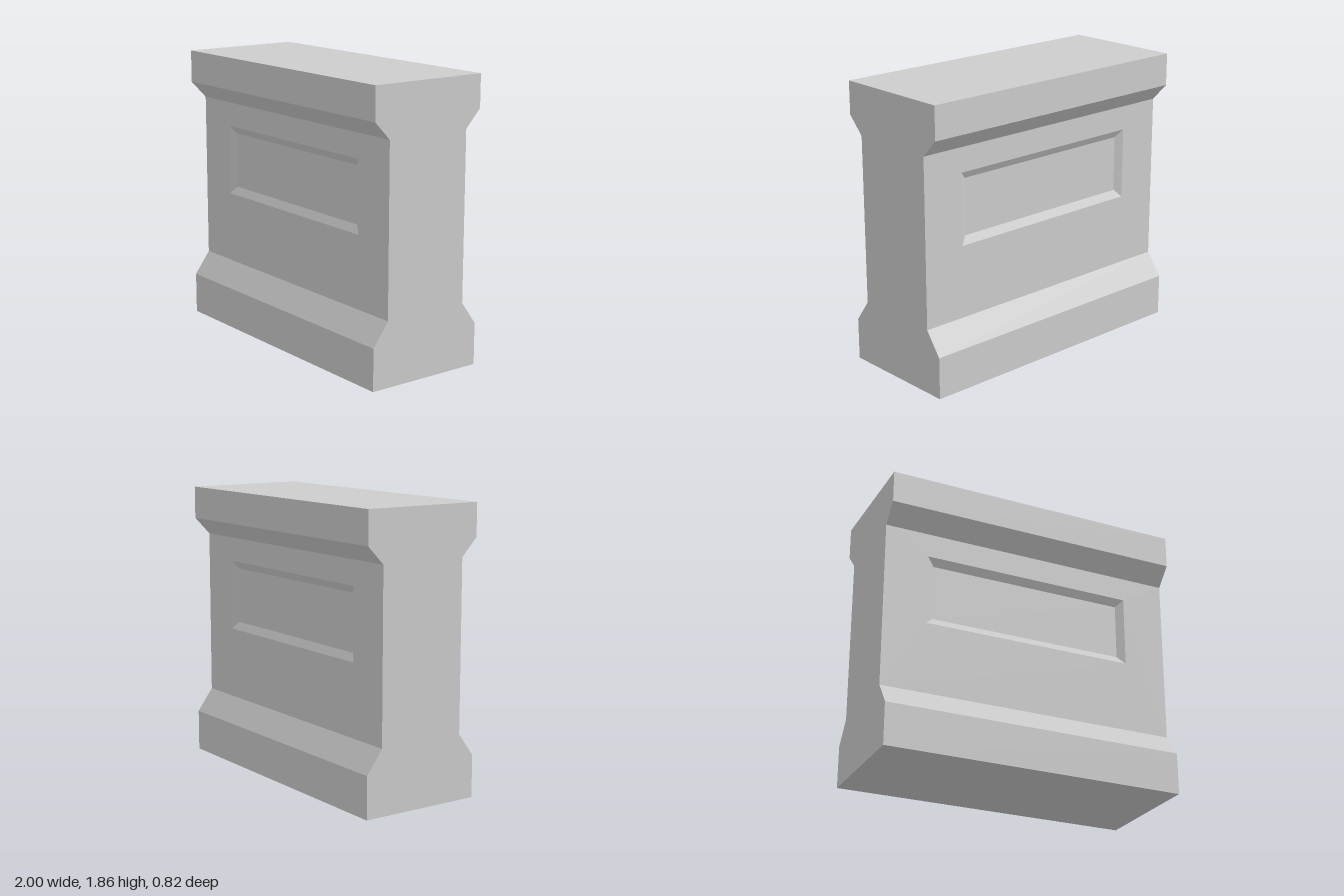
import * as THREE from 'three';

const HALF = 1;        // half of the length along x
const PROFILE = [      // front half of the cross-section, [z, y], from the bottom up
  [0, 0], [0.41, 0], [0.41, 0.275], [0.3, 0.425],
  [0.3, 1.53], [0.41, 1.645], [0.41, 1.86], [0, 1.86],
];
const STRIPS = ['underside', 'base', 'baseChamfer', 'wall', 'capChamfer', 'cap', 'top'];
const OUTER = { x: 0.71, y0: 0.9, y1: 1.37, z: 0.3 };     // rim of the recess
const INNER = { x: 0.66, y0: 0.95, y1: 1.32, z: 0.27 };   // floor of the recess

// Flat four-cornered face, corners counter-clockwise
function quad(a, b, c, d) {
  const geo = new THREE.BufferGeometry();
  geo.setAttribute('position', new THREE.Float32BufferAttribute([a, b, c, a, c, d].flat(), 3));
  geo.computeVertexNormals();
  return geo;
}

function corners({ x, y0, y1, z }) {
  return [[-x, y0, z], [x, y0, z], [x, y1, z], [-x, y1, z]];
}

function outline(rect) {
  return corners(rect).map(([x, y]) => new THREE.Vector2(x, y));
}

export function createModel() {
  const stone = new THREE.MeshStandardMaterial({ color: 0xcccccc });
  stone.name = 'grey stone';
  const model = new THREE.Group();
  model.name = 'pedestalBlock';

  // Both halves are alike, the back one turned by half a circle
  ['front', 'back'].forEach((side, s) => {
    const half = new THREE.Group();
    half.name = side + 'Half';
    half.rotation.y = s * Math.PI;
    model.add(half);
    const add = (name, geo) => {
      const mesh = new THREE.Mesh(geo, stone);
      mesh.name = name;
      half.add(mesh);
    };

    // Strips along the length, the wall having an opening for the recess
    STRIPS.forEach((name, i) => {
      const [z0, y0] = PROFILE[i], [z1, y1] = PROFILE[i + 1];
      if (name === 'wall') {
        const wall = new THREE.Shape(outline({ x: HALF, y0, y1, z: z0 }));
        wall.holes.push(new THREE.Path(outline(OUTER)));
        add(name, new THREE.ShapeGeometry(wall).translate(0, 0, z0));
      } else {
        add(name, quad([-HALF, y0, z0], [HALF, y0, z0], [HALF, y1, z1], [-HALF, y1, z1]));
      }
    });

    // Recessed panel with sloping edges
    const rim = corners(OUTER), floor = corners(INNER);
    ['bottom', 'right', 'top', 'left'].forEach((edge, i) => {
      const j = (i + 1) % 4;
      add(edge + 'PanelBevel', quad(rim[i], rim[j], floor[j], floor[i]));
    });
    add('panelFloor', quad(...floor));

    // End face, the full cross-section
    const right = PROFILE.slice(1, -1).map(([z, y]) => new THREE.Vector2(z, y));
    const left = right.map((p) => new THREE.Vector2(-p.x, p.y)).reverse();
    const end = new THREE.ShapeGeometry(new THREE.Shape([...right, ...left]));
    add('endFace', end.rotateY(Math.PI / 2).translate(HALF, 0, 0));
  });

  return model;
}
